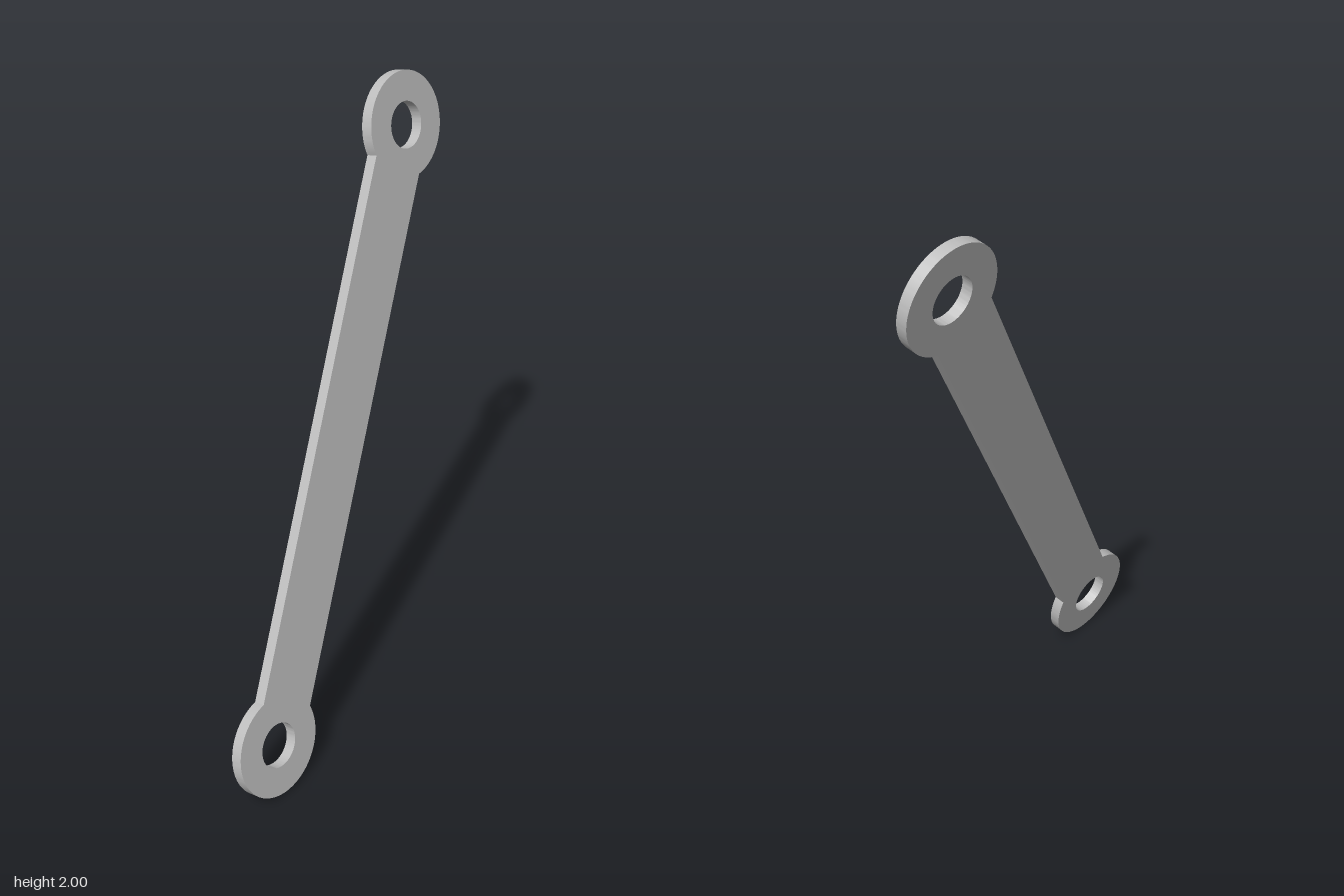
import * as THREE from 'three';
import { toCreasedNormals } from 'three/addons/utils/BufferGeometryUtils.js';

const EYE_RADIUS = 0.169, HOLE_RADIUS = 0.074;
const BAR_WIDTH = 0.22, THICKNESS = 0.037, SPAN = 1.984;

export function createModel() {
  const group = new THREE.Group();
  group.name = 'linkArm';
  const steel = new THREE.MeshStandardMaterial({ color: 0xbebebe });
  steel.name = 'light grey steel';

  // Outline: a round eye at each end, joined by the straight bar
  const shape = new THREE.Shape();
  const gap = Math.asin(BAR_WIDTH / 2 / EYE_RADIUS);
  for (const side of [1, -1]) {
    const inward = -side * Math.PI / 2;
    shape.absarc(0, side * SPAN / 2, EYE_RADIUS, inward + gap, inward + 2 * Math.PI - gap, false);
    const hole = new THREE.Path();
    hole.absarc(0, side * SPAN / 2, HOLE_RADIUS, 0, 2 * Math.PI, true);
    shape.holes.push(hole);
  }
  shape.closePath();

  const geometry = new THREE.ExtrudeGeometry(shape, {
    depth: THICKNESS, bevelEnabled: false, curveSegments: 48,
  });
  geometry.translate(0, 0, -THICKNESS / 2);
  const link = new THREE.Mesh(toCreasedNormals(geometry, 0.5), steel);
  link.name = 'linkBarWithEyes';

  // Lean the flat link along its axis, with its face turned to the given normal
  const axis = new THREE.Vector3(0.17, 1.659, -1.074).normalize();
  const across = axis.clone().cross(new THREE.Vector3(0.866, 0.206, 0.4555)).normalize();
  const normal = across.clone().cross(axis);
  link.quaternion.setFromRotationMatrix(new THREE.Matrix4().makeBasis(across, axis, normal));
  link.position.y = 1;
  group.add(link);
  return group;
}
